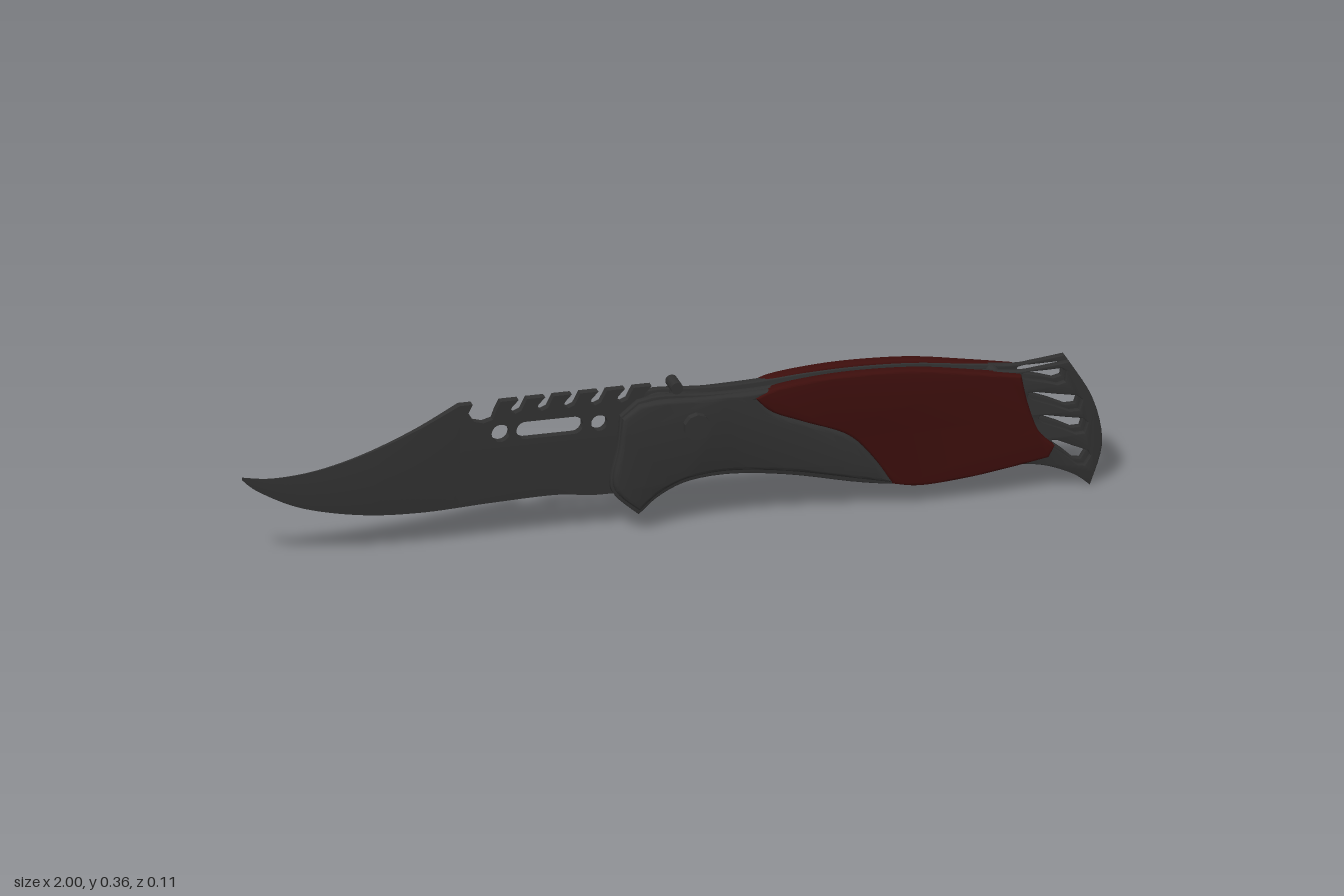
import * as THREE from 'three';
import { toCreasedNormals } from 'three/addons/utils/BufferGeometryUtils.js';

const ZC = -0.0065; // middle plane of the knife
const dark = new THREE.MeshStandardMaterial({ color: 0x303030 });
const red = new THREE.MeshStandardMaterial({ color: 0x3c0e0c });

const v2 = (pts) => pts.map(([x, y]) => new THREE.Vector2(x, y));

// Closed outline of smooth runs meeting in corners; points crowding a corner are dropped so rims never fold
function outline(...runs) {
  const pts = [];
  for (const run of runs) {
    const line = new THREE.SplineCurve(v2(run)).getPoints(run.length * 4);
    const first = line[0], last = line[line.length - 1];
    pts.push(first, ...line.filter((p) => Math.min(p.distanceTo(first), p.distanceTo(last)) > 0.026));
  }
  return pts;
}

// Extruded slab between two z depths with rounded rims kept inside the outline
// (outlines run clockwise, holes counter-clockwise)
function slab(name, shape, z0, z1, bevel, material) {
  const geo = new THREE.ExtrudeGeometry(shape, {
    depth: z1 - z0 - 2 * bevel, curveSegments: 16, bevelEnabled: bevel > 0,
    bevelThickness: bevel, bevelSize: bevel, bevelOffset: -bevel, bevelSegments: 3,
  });
  geo.translate(0, 0, z0 + bevel);
  const mesh = new THREE.Mesh(toCreasedNormals(geo, 0.7), material);
  mesh.name = name;
  return mesh;
}

// Cylinder lying along z
function pin(name, x, y, r, z0, z1, sides = 20) {
  const geo = new THREE.CylinderGeometry(r, r, z1 - z0, sides).rotateX(Math.PI / 2);
  const mesh = new THREE.Mesh(toCreasedNormals(geo, 0.6), dark);
  mesh.position.set(x, y, (z0 + z1) / 2);
  mesh.name = name;
  return mesh;
}

// Interpolated height of a smooth profile at x
function profile(pts) {
  const line = new THREE.SplineCurve(v2(pts)).getPoints(120);
  return (x) => {
    let i = 1;
    while (i < line.length - 1 && line[i].x < x) i++;
    const a = line[i - 1], b = line[i];
    return a.y + (b.y - a.y) * THREE.MathUtils.clamp((x - a.x) / (b.x - a.x), 0, 1);
  };
}

// Lofted blade: each section runs spine, shoulder, edge, shoulder, spine
function loft(name, x0, x1, section, steps = 40) {
  const pos = [], index = [], n = 6;
  for (let i = 0; i <= steps; i++) {
    const x = x0 + ((x1 - x0) * i) / steps;
    const { top, mid, edge, tTop, tMid, tEdge } = section(x);
    for (const [y, t] of [[top, tTop], [mid, tMid], [edge, tEdge], [edge, -tEdge], [mid, -tMid], [top, -tTop]])
      pos.push(x, y, t);
  }
  for (let i = 0; i < steps; i++)
    for (let j = 0; j < n; j++) {
      const a = i * n + j, b = i * n + ((j + 1) % n), c = a + n, d = b + n;
      index.push(a, b, c, b, d, c);
    }
  for (const e of [0, steps * n])
    for (let j = 1; j < n - 1; j++) index.push(e, ...(e ? [e + j, e + j + 1] : [j + 1, j]));
  const geo = new THREE.BufferGeometry();
  geo.setAttribute('position', new THREE.Float32BufferAttribute(pos, 3));
  geo.setIndex(index);
  const mesh = new THREE.Mesh(toCreasedNormals(geo, 0.4), dark);
  mesh.name = name;
  return mesh;
}

function buildBlade() {
  const blade = new THREE.Group();
  blade.name = 'blade';
  blade.position.z = ZC;
  const T = 0.01; // half thickness
  const spine = profile([[-1, 0.222], [-0.93, 0.212], [-0.83, 0.219], [-0.72, 0.246], [-0.6, 0.292], [-0.495, 0.345]]);
  const belly = profile([[-1, 0.216], [-0.96, 0.182], [-0.86, 0.132], [-0.72, 0.1], [-0.58, 0.091],
    [-0.42, 0.097], [-0.27, 0.1], [-0.18, 0.09], [-0.08, 0.09]]);

  // Tapering point and ground edge
  blade.add(loft('bladePoint', -1, -0.495, (x) => {
    const k = (x + 1) / 0.505, top = spine(x), edge = belly(x);
    return { top, edge, mid: edge + (top - edge) * 0.53, tTop: 0.001 + (T - 0.001) * k * k,
      tMid: 0.001 + (T - 0.001) * Math.min(1, k * 1.6), tEdge: 0.0006 };
  }));
  blade.add(loft('groundEdge', -0.495, -0.08, (x) => (
    { top: 0.24, mid: 0.226, edge: belly(x), tTop: T, tMid: T, tEdge: 0.0006 })));

  // Flat back with hook, saw teeth and tang
  const pts = [[-0.495, 0.24], [-0.495, 0.345], [-0.465, 0.345], [-0.475, 0.325], [-0.462, 0.303], [-0.44, 0.297],
    [-0.418, 0.303], [-0.41, 0.325], [-0.4, 0.345]];
  for (let i = 0; i < 6; i++) {
    const x = -0.4 + i * 0.062;
    pts.push([x + 0.042, 0.345], [x + 0.026, 0.328], [x + 0.023, 0.318], [x + 0.034, 0.312],
      [x + 0.048, 0.318], [x + 0.062, i < 5 ? 0.345 : 0.32]);
  }
  pts.push([0.08, 0.31], [0.115, 0.28], [0.12, 0.22], [0.08, 0.17], [0, 0.14], [-0.08, 0.14], [-0.1, 0.24]);
  const back = new THREE.Shape(v2(pts));
  for (const [x, r] of [[-0.4, 0.021], [-0.17, 0.019]])
    back.holes.push(new THREE.Path().absarc(x, 0.268, r, 0, Math.PI * 2, false));
  const slot = new THREE.Path();
  slot.absarc(-0.229, 0.269, 0.021, -Math.PI / 2, Math.PI / 2, false);
  slot.absarc(-0.342, 0.269, 0.021, Math.PI / 2, Math.PI * 1.5, false);
  back.holes.push(slot);
  blade.add(slab('bladeBack', back, -T, T, 0, dark));

  // Thumb stud on a short neck
  blade.add(pin('thumbStud', 0.005, 0.342, 0.014, -0.0175, 0.0335));
  const neck = new THREE.Mesh(new THREE.CylinderGeometry(0.008, 0.011, 0.04, 16), dark);
  neck.position.set(0.005, 0.32, 0);
  neck.name = 'studNeck';
  blade.add(neck);
  return blade;
}

// Liner plate with four teardrop slots fanned through the flared end
function linerShape() {
  const shape = new THREE.Shape(outline(
    [[-0.085, 0.318], [-0.03, 0.326], [0.08, 0.318], [0.2, 0.318], [0.31, 0.326], [0.435, 0.329], [0.57, 0.323],
      [0.7, 0.306], [0.8, 0.294], [0.85, 0.297], [0.92, 0.305]],
    [[0.92, 0.305], [0.975, 0.21], [0.997, 0.1], [0.968, 0.0]],
    [[0.968, 0.0], [0.93, 0.03], [0.86, 0.059], [0.78, 0.069], [0.7, 0.063], [0.54, 0.052], [0.435, 0.064],
      [0.275, 0.1], [0.14, 0.118], [0.035, 0.112], [-0.035, 0.083], [-0.083, 0.043]],
    [[-0.083, 0.043], [-0.138, 0.094], [-0.148, 0.135], [-0.132, 0.21], [-0.125, 0.285]],
    [[-0.125, 0.285], [-0.085, 0.318]]));
  const slots = [[0.81, 0.283, 0.915, 0.268], [0.825, 0.235, 0.95, 0.195], [0.85, 0.176, 0.962, 0.138], [0.878, 0.115, 0.965, 0.058]];
  for (const [x0, y0, x1, y1] of slots) {
    const len = Math.hypot(x1 - x0, y1 - y0), ux = (x1 - x0) / len, uy = (y1 - y0) / len;
    const loop = [[0, -0.004], [0.1, -0.009], [0.5, -0.013], [0.82, -0.019], [0.98, -0.012], [0.98, 0.014],
      [0.85, 0.021], [0.5, 0.015], [0.1, 0.009], [0, 0.004]];
    shape.holes.push(new THREE.Path(loop.map(([s, w]) =>
      new THREE.Vector2(x0 + ux * s * len - uy * w, y0 + uy * s * len + ux * w))));
  }
  return shape;
}

export function createModel() {
  const model = new THREE.Group();
  model.name = 'foldingKnife';
  model.add(buildBlade());

  const liner = linerShape();
  // Front bolster with a tail sweeping under the grip
  const bolster = new THREE.Shape(outline(
    [[-0.083, 0.312], [-0.03, 0.318], [0.08, 0.314], [0.225, 0.317]],
    [[0.225, 0.317], [0.188, 0.298]],
    [[0.188, 0.298], [0.23, 0.26], [0.3, 0.23], [0.4, 0.188], [0.46, 0.126], [0.508, 0.06]],
    [[0.508, 0.06], [0.435, 0.076], [0.275, 0.112], [0.14, 0.13], [0.035, 0.124], [-0.035, 0.096], [-0.083, 0.056]],
    [[-0.083, 0.056], [-0.13, 0.097], [-0.144, 0.135], [-0.13, 0.21], [-0.122, 0.282]],
    [[-0.122, 0.282], [-0.083, 0.312]]));
  const grip = new THREE.Shape(outline(
    [[0.185, 0.302], [0.235, 0.322], [0.33, 0.333], [0.435, 0.336], [0.57, 0.329], [0.7, 0.308], [0.805, 0.289]],
    [[0.805, 0.289], [0.82, 0.22], [0.845, 0.15], [0.882, 0.11]],
    [[0.882, 0.11], [0.868, 0.084]],
    [[0.868, 0.084], [0.78, 0.069], [0.68, 0.055], [0.57, 0.048], [0.505, 0.059]],
    [[0.505, 0.059], [0.46, 0.128], [0.4, 0.19], [0.3, 0.232], [0.225, 0.264], [0.185, 0.302]]));

  // Matching handle sides
  for (const s of [1, -1]) {
    const side = new THREE.Group();
    side.name = s > 0 ? 'frontHandleSide' : 'backHandleSide';
    const layer = (name, shape, a, b, bevel, mat) =>
      side.add(slab(name, shape, ZC + (s > 0 ? a : -b), ZC + (s > 0 ? b : -a), bevel, mat));
    layer('linerPlate', liner, 0.0125, 0.0285, 0.002, dark);
    layer('bolster', bolster, 0.016, 0.0435, 0.009, dark);
    layer('gripPanel', grip, 0.016, 0.0465, 0.006, red);
    model.add(side);
  }

  // Pivot screw and spacer pins between the plates
  model.add(pin('pivotScrew', 0.046, 0.253, 0.031, ZC, 0.055, 10));
  for (const [x, y, r] of [[0.11, 0.265, 0.017], [0.455, 0.14, 0.016], [0.595, 0.11, 0.016], [0.75, 0.285, 0.015], [0.75, 0.082, 0.015]])
    model.add(pin('spacerPin', x, y, r, ZC - 0.015, ZC + 0.015));
  return model;
}
